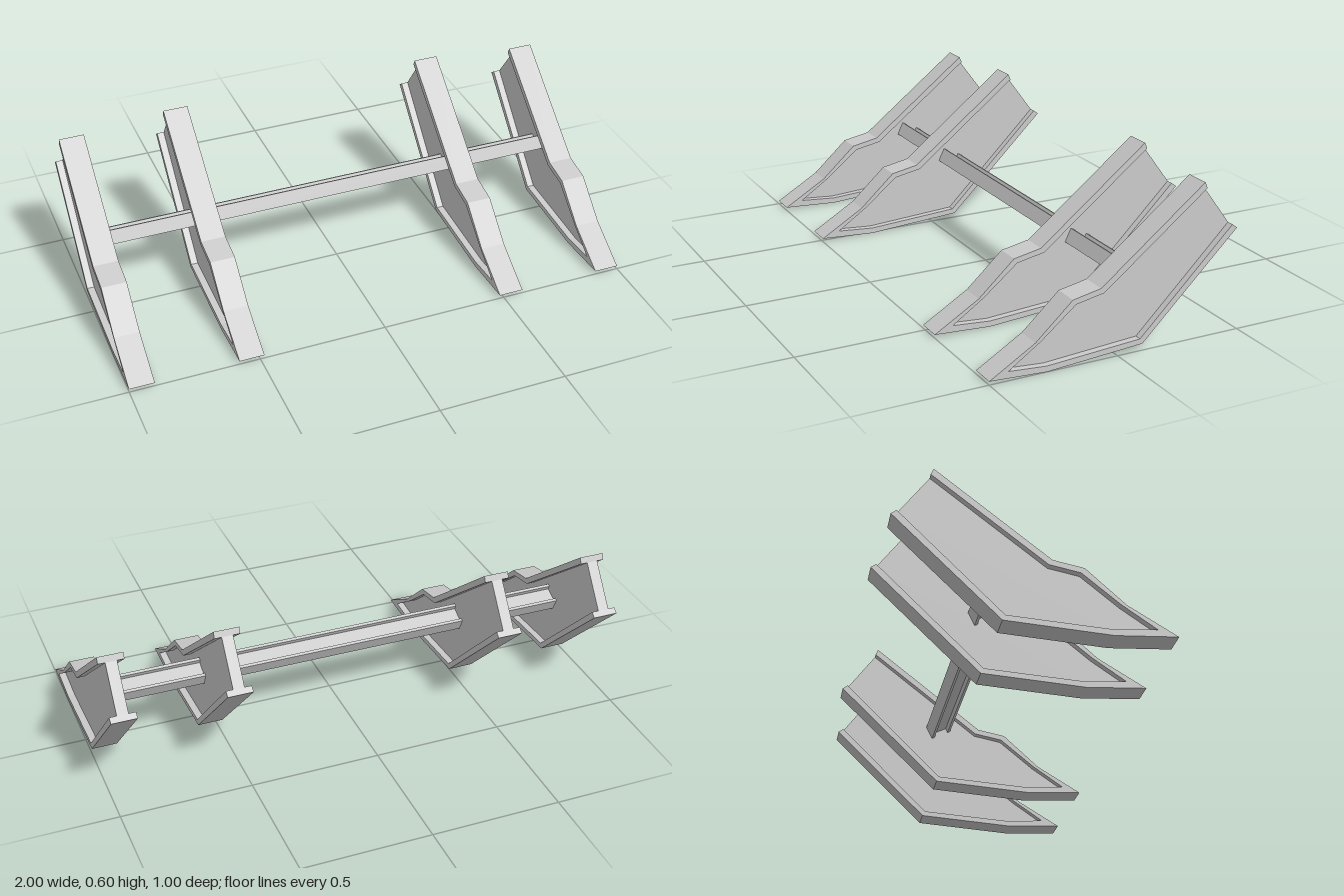
import * as THREE from 'three';

const material = new THREE.MeshStandardMaterial({ color: 0xcccccc, flatShading: true });

// Extrude a [z, y] profile across x, centred on x = 0
function extrudeAcross(points, width) {
  const shape = new THREE.Shape(points.map(([z, y]) => new THREE.Vector2(z, y)));
  const geo = new THREE.ExtrudeGeometry(shape, { depth: width, bevelEnabled: false });
  geo.translate(0, 0, -width / 2);
  geo.rotateY(-Math.PI / 2);
  return geo;
}

function part(name, geo) {
  const mesh = new THREE.Mesh(geo, material);
  mesh.name = name;
  return mesh;
}

// One leg: a flange following the edge (open at the rear) and a thin web;
// trim slides the rear end forward and down along the leg
function makeLeg(name, x, trim) {
  const end = (z, y) => [z + trim * 1.1, y - trim];
  const outer = [
    end(-0.5, 0.415), [-0.1, 0.028], [0.28, 0.003], [0.5, 0.016],
    [0.325, 0.12], [0.183, 0.248], [0.073, 0.269], end(-0.357, 0.605),
  ];
  const inner = [
    end(-0.48, 0.43), [-0.09, 0.048], [0.28, 0.025], [0.428, 0.037],
    [0.305, 0.12], [0.17, 0.229], [0.06, 0.25], end(-0.367, 0.582),
  ];
  const leg = new THREE.Group();
  leg.name = name;
  leg.add(part('flange', extrudeAcross([...outer, ...inner.slice().reverse()], 0.097)));
  leg.add(part('web', extrudeAcross(inner, 0.043)));
  leg.position.x = x;
  return leg;
}

// Tilted H-section bar joining the legs
function makeCrossbar() {
  const w = 0.042, h = 0.0275, t = 0.012, web = 0.009, tilt = 0.45;
  const half = [[w, -h], [w, h], [w - t, h], [w - t, web]];
  const section = [
    ...half,
    ...half.slice().reverse().map(([a, b]) => [-a, b]),
    ...half.map(([a, b]) => [-a, -b]).slice(1),
    ...half.slice().reverse().map(([a, b]) => [a, -b]).slice(0, -2),
  ];
  const c = Math.cos(tilt), s = Math.sin(tilt);
  const placed = section.map(([a, b]) => [a * c - b * s - 0.092, a * s + b * c + 0.27]);
  return part('crossbar', extrudeAcross(placed, 1.88));
}

export function createModel() {
  const model = new THREE.Group();
  model.name = 'legFrame';
  for (const side of [1, -1]) {
    const label = side > 0 ? 'left' : 'right';
    model.add(makeLeg(label + 'OuterLeg', side * 0.9515, 0.02));
    model.add(makeLeg(label + 'InnerLeg', side * 0.532, 0));
  }
  model.add(makeCrossbar());
  return model;
}
